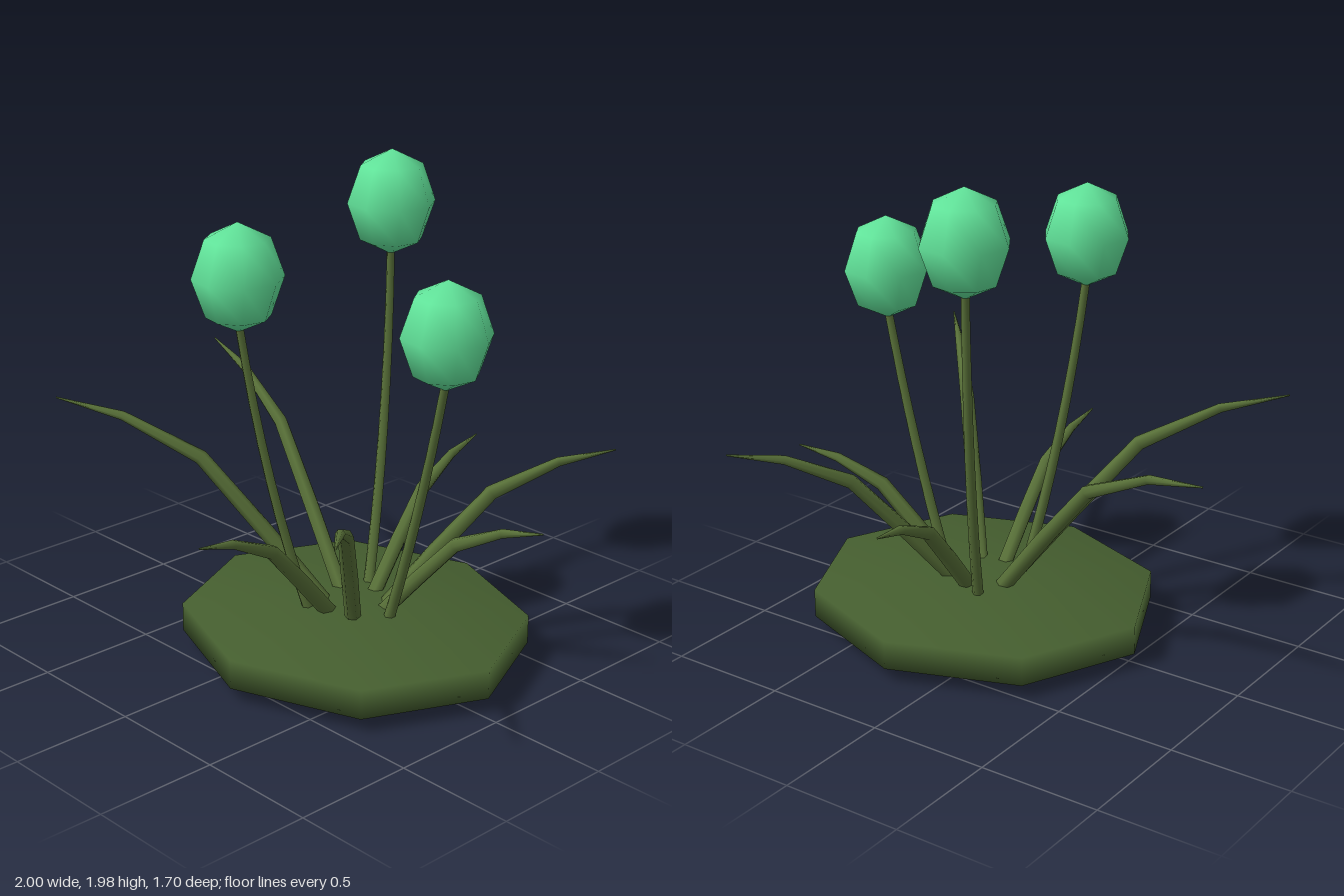
import * as THREE from 'three';

const V = (x, y, z) => new THREE.Vector3(x, y, z);

const petalGreen = new THREE.MeshStandardMaterial({ name: 'mint bloom', color: 0x62e59b });
const leafGreen = new THREE.MeshStandardMaterial({ name: 'leaf green', color: 0x587038 });
const moundGreen = new THREE.MeshStandardMaterial({ name: 'mound green', color: 0x455e2f });

// Smooth tapered tube through points, with one radius per point
function taperedTube(points, radii, sides) {
  const pos = [], idx = [];
  const up = V(0, 1, 0);
  points.forEach((p, i) => {
    const next = points[Math.min(i + 1, points.length - 1)];
    const prev = points[Math.max(i - 1, 0)];
    const t = next.clone().sub(prev).normalize();
    const side = t.clone().cross(up).normalize();
    const normal = t.clone().cross(side);
    for (let j = 0; j < sides; j++) {
      const a = (j / sides) * Math.PI * 2;
      const v = p.clone()
        .addScaledVector(side, Math.cos(a) * radii[i])
        .addScaledVector(normal, Math.sin(a) * radii[i]);
      pos.push(v.x, v.y, v.z);
      if (i < points.length - 1) {
        const a0 = i * sides + j, b0 = i * sides + (j + 1) % sides;
        idx.push(a0, b0, a0 + sides, b0, b0 + sides, a0 + sides);
      }
    }
  });
  const g = new THREE.BufferGeometry();
  g.setAttribute('position', new THREE.Float32BufferAttribute(pos, 3));
  g.setIndex(idx);
  g.computeVertexNormals();
  return g;
}

export function createModel() {
  const group = new THREE.Group();
  group.name = 'floweringPlant';
  const add = (name, geometry, material) => {
    const m = new THREE.Mesh(geometry, material);
    m.name = name;
    group.add(m);
    return m;
  };

  // Flattened eight-sided mound
  const mound = add('mound', new THREE.SphereGeometry(1, 8, 3), moundGreen);
  mound.scale.set(0.851, 0.12, 0.77);
  mound.position.set(0.19, 0.128, -0.035);

  // Flowers: bloom centre, stem foot, how far the stem leans out early
  const flowers = [
    { head: V(-0.03, 1.775, -0.44), foot: V(0.1, 0.2, -0.2), lean: 0.95 },
    { head: V(-0.035, 1.62, 0.37), foot: V(0.1, 0.2, 0.13), lean: 0.64 },
    { head: V(0.667, 1.465, -0.035), foot: V(0.38, 0.2, -0.035), lean: 0.56 },
  ];
  const bloomGeometry = new THREE.SphereGeometry(1, 8, 4);
  for (const { head, foot, lean } of flowers) {
    const top = head.clone().add(V(0, -0.18, 0));
    const mid = foot.clone().lerp(top, lean);
    mid.y = THREE.MathUtils.lerp(foot.y, top.y, 0.44);
    const pts = new THREE.QuadraticBezierCurve3(foot, mid, top).getPoints(8);
    add('stem', taperedTube(pts, pts.map((_, i) => 0.023 - 0.0008 * i), 6), leafGreen);
    const bloom = add('bloom', bloomGeometry, petalGreen);
    bloom.scale.set(0.179, 0.215, 0.181);
    bloom.rotation.y = 0.2;
    bloom.position.copy(head);
  }

  // Arching leaves: foot and tip share one bend profile
  const leaves = [
    [V(0.07, 0.21, -0.08), V(-1.0, 1.0, -0.325)],
    [V(0.1, 0.21, 0.04), V(-0.82, 1.01, 0.67)],
    [V(0.18, 0.21, 0.09), V(0.19, 0.7, 0.775)],
    [V(0.28, 0.21, 0.06), V(0.995, 0.975, 0.845)],
    [V(0.31, 0.21, -0.08), V(0.97, 0.695, -0.27)],
    [V(0.28, 0.21, -0.12), V(0.855, 0.86, -0.83)],
    [V(0.18, 0.21, -0.15), V(0.09, 0.71, -0.85)],
  ];
  const bend = [[0, 0], [0.23, 0.38], [0.46, 0.74], [0.75, 0.93], [1, 1]];
  const leafRadii = [0.033, 0.033, 0.03, 0.019, 0.003];
  for (const [foot, tip] of leaves) {
    const pts = bend.map(([out, rise]) => {
      const p = foot.clone().lerp(tip, out);
      p.y = THREE.MathUtils.lerp(foot.y, tip.y, rise);
      return p;
    });
    add('leaf', taperedTube(pts, leafRadii, 6), leafGreen);
  }

  return group;
}
